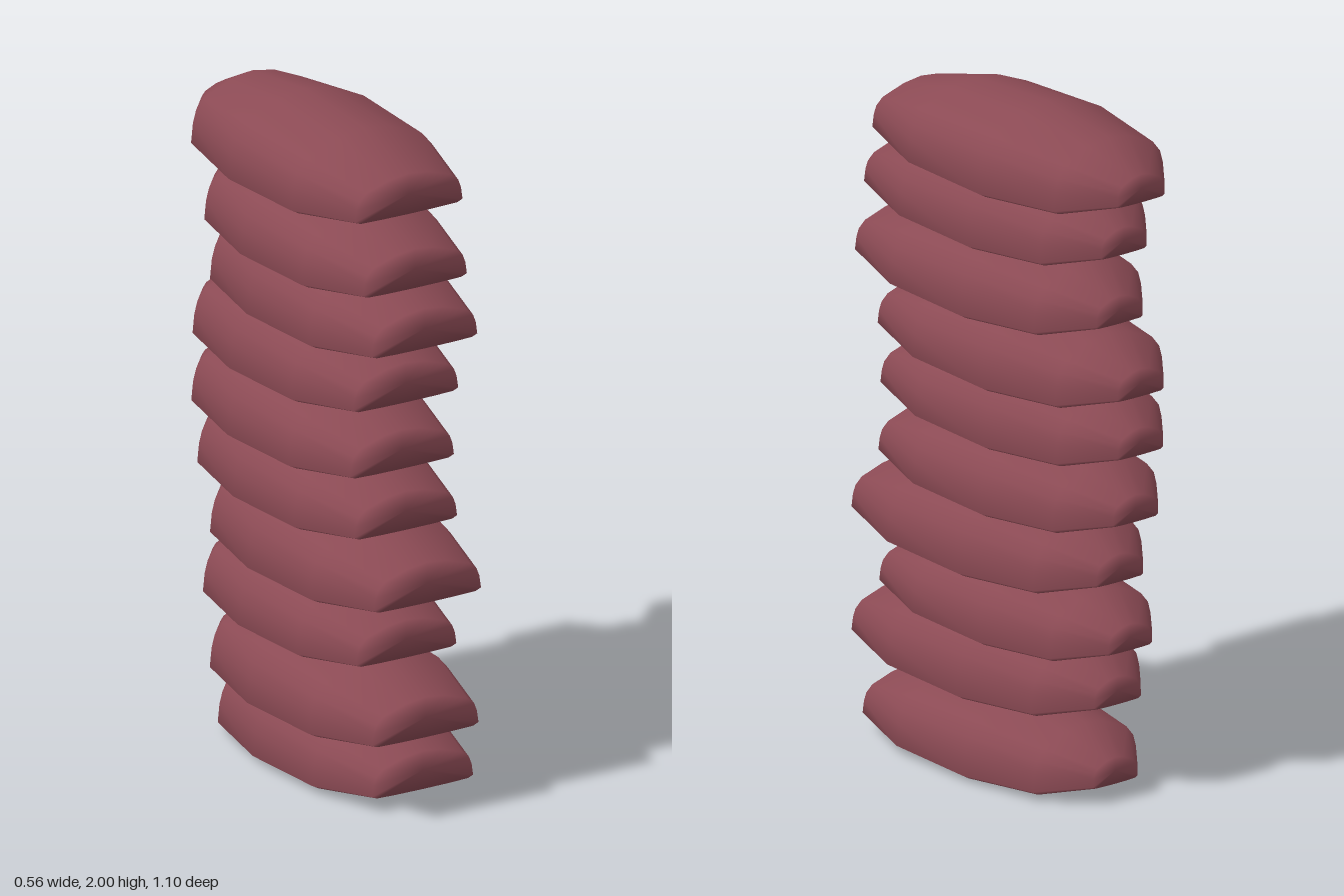
import * as THREE from 'three';

// Half cross-section from bottom centre to top centre: [fraction of half width, fraction of height]
const HALF = [[0, 0], [0.5, 0.005], [0.9, 0.02], [1, 0.08], [0.97, 0.38], [0.92, 0.57], [0.79, 0.74], [0.36, 0.935], [0, 1]];
const RING = [...HALF, ...HALF.slice(1, -1).reverse().map(([x, t]) => [-x, t])];

// Stations from back to front: [z, half width, bottom, top]
const STATIONS = [
  [-0.487, 0.087, 0.05, 0.135],
  [-0.345, 0.205, 0.014, 0.208],
  [-0.07, 0.253, 0, 0.243],
  [0.25, 0.245, 0.008, 0.228],
  [0.487, 0.18, 0.042, 0.165],
];

// One domed, tapering slab lofted through the stations and closed at both ends
function slabGeometry() {
  const pos = [], index = [], n = RING.length;
  for (const [z, w, lo, hi] of STATIONS) {
    for (const [x, t] of RING) pos.push(x * w, lo + t * (hi - lo), z);
  }
  const last = STATIONS.length - 1;
  for (let i = 0; i < last; i++) {
    for (let j = 0; j < n; j++) {
      const a = i * n + j, b = i * n + (j + 1) % n;
      index.push(a, b, b + n, a, b + n, a + n);
    }
  }
  // End caps share the rim vertices so the shading stays soft
  const addCap = (i, front) => {
    const [z, , lo, hi] = STATIONS[i];
    const centre = pos.length / 3;
    pos.push(0, (lo + hi) / 2, z);
    for (let j = 0; j < n; j++) {
      const a = i * n + j, b = i * n + (j + 1) % n;
      index.push(centre, front ? a : b, front ? b : a);
    }
  };
  addCap(0, false);
  addCap(last, true);
  const geometry = new THREE.BufferGeometry();
  geometry.setAttribute('position', new THREE.Float32BufferAttribute(pos, 3));
  geometry.setIndex(index);
  geometry.computeVertexNormals();
  return geometry;
}

// Slabs from bottom to top: [x, base y, front z, back z]
const SLABS = [
  [0.04, 0, 0.437, -0.482],
  [-0.022, 0.205, 0.55, -0.417],
  [0.002, 0.4, 0.41, -0.502],
  [0.01, 0.595, 0.51, -0.465],
  [-0.003, 0.79, 0.415, -0.52],
  [-0.025, 0.985, 0.43, -0.515],
  [0, 1.175, 0.41, -0.546],
  [0.002, 1.37, 0.507, -0.455],
  [-0.035, 1.565, 0.515, -0.43],
  [-0.005, 1.757, 0.435, -0.542],
];

export function createModel() {
  const model = new THREE.Group();
  model.name = 'slabStack';
  const material = new THREE.MeshStandardMaterial({ color: 0x8b4a54 });
  material.name = 'dull red';
  const geometry = slabGeometry();
  SLABS.forEach(([x, y, front, back], i) => {
    const slab = new THREE.Mesh(geometry, material);
    slab.name = `slab${i + 1}`;
    slab.position.set(x, y, (front + back) / 2);
    slab.scale.setScalar((front - back) / 0.974);
    model.add(slab);
  });
  return model;
}
